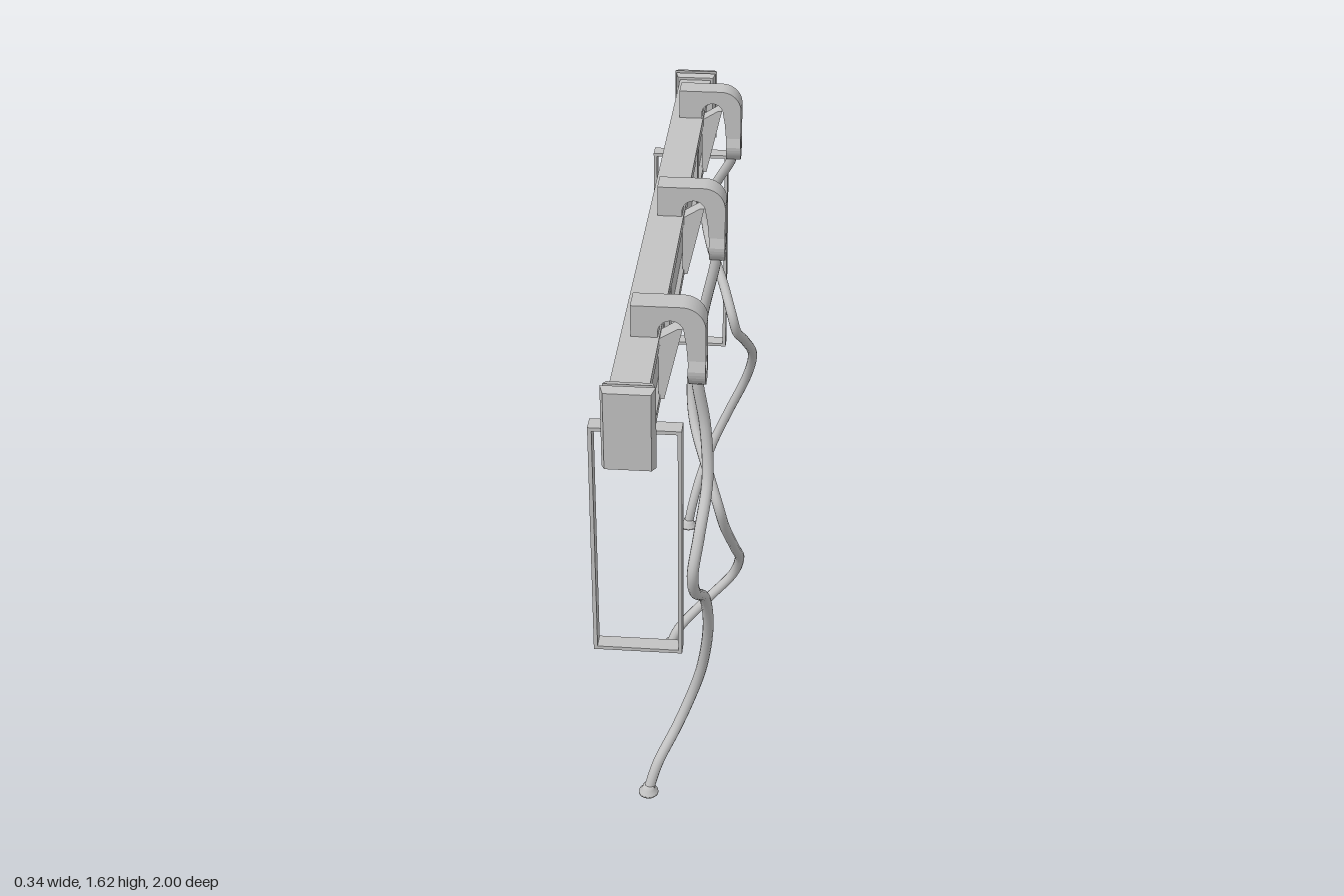
import * as THREE from 'three';

const steel = new THREE.MeshStandardMaterial({ color: 0xc2c2c2 });
steel.name = 'brushed grey';

const V = (x, y, z) => new THREE.Vector3(x, y, z);
const BX = -0.054, BY = 1.445; // beam axis

function add(parent, name, geo, x = 0, y = 0, z = 0) {
  const m = new THREE.Mesh(geo, steel);
  m.name = name;
  m.position.set(x, y, z);
  parent.add(m);
  return m;
}

function polygon(points) {
  return new THREE.Shape(points.map(([x, y]) => new THREE.Vector2(x, y)));
}

// extrusion centred on z = 0
function slab(shape, depth, curveSegments = 10) {
  const g = new THREE.ExtrudeGeometry(shape, { depth, bevelEnabled: false, curveSegments });
  return g.translate(0, 0, -depth / 2);
}

// box whose +z end is scaled by (sx, sy)
function taperedBox(w, h, d, sx, sy) {
  const g = new THREE.BoxGeometry(w, h, d).toNonIndexed();
  const p = g.attributes.position;
  for (let i = 0; i < p.count; i++) {
    if (p.getZ(i) > 0) p.setXY(i, p.getX(i) * sx, p.getY(i) * sy);
  }
  g.computeVertexNormals();
  return g;
}

// hook arching over the beam: left leg rests on it, right leg hangs free
function hookShape() {
  const s = new THREE.Shape();
  s.moveTo(-0.077, 1.535);
  s.lineTo(-0.01, 1.535);
  s.lineTo(-0.01, 1.555);
  s.absarc(0.022, 1.555, 0.032, Math.PI, 0, true);
  s.lineTo(0.06, 1.52);
  s.lineTo(0.064, 1.47);
  s.lineTo(0.108, 1.47);
  s.lineTo(0.108, 1.565);
  s.absarc(0.048, 1.565, 0.06, 0, Math.PI / 2, false);
  s.lineTo(-0.077, 1.625);
  s.closePath();
  return s;
}

// rounded fork that grips the cable, drawn in the z-y plane
function forkShape() {
  const s = new THREE.Shape();
  s.moveTo(-0.03, 1.49);
  s.lineTo(-0.042, 1.45);
  s.quadraticCurveTo(-0.042, 1.42, -0.016, 1.402);
  s.lineTo(0.016, 1.402);
  s.quadraticCurveTo(0.042, 1.42, 0.042, 1.45);
  s.lineTo(0.03, 1.49);
  s.closePath();
  const hole = new THREE.Path();
  hole.moveTo(-0.022, 1.475);
  hole.lineTo(0.022, 1.475);
  hole.lineTo(0.022, 1.445);
  hole.lineTo(0.01, 1.425);
  hole.lineTo(-0.01, 1.425);
  hole.lineTo(-0.022, 1.445);
  hole.closePath();
  s.holes.push(hole);
  return s;
}

// cable centre lines as x, y, z
const cables = [
  [[.083, 1.46, .675], [.085, 1.4, .675], [.105, 1.27, .675], [.114, 1.135, .71], [.1, 1.02, .8],
    [.087, .925, .835], [.09, .845, .8], [.107, .745, .69], [.11, .573, .595], [.088, .385, .536],
    [.06, .28, .525], [.02, .18, .55], [-.03, .09, .61], [-.055, .01, .637]],
  [[.083, 1.46, 0], [.082, 1.4, 0], [.05, 1.24, -.02], [.02, 1.055, -.053], [.01, .945, -.055],
    [.022, .855, -.01], [.07, .76, .1], [.105, .68, .158], [.12, .605, .14], [.145, .43, .005],
    [.154, .295, -.118], [.13, .21, -.153], [.055, .134, -.123], [-.03, .064, -.053], [-.055, .01, -.037]],
  [[.083, 1.46, -.675], [.08, 1.4, -.675], [.03, 1.295, -.707], [-.002, 1.17, -.733], [.015, 1.1, -.69],
    [.065, 1.01, -.585], [.097, .937, -.517], [.11, .88, -.525], [.132, .8, -.61], [.152, .67, -.745],
    [.13, .545, -.815], [.07, .395, -.834], [.02, .28, -.815], [-.02, .17, -.76], [-.043, .08, -.723],
    [-.055, .01, -.713]],
];

export function createModel() {
  const model = new THREE.Group();
  model.name = 'hangingRail';

  // beam with a lip along the top and bottom
  const half = [[.048, -.095], [.048, -.072], [.036, -.066], [.036, .06], [.048, .066], [.048, .095]];
  const other = half.map(([x, y]) => [-x, y]).reverse();
  add(model, 'beam', slab(polygon([...half, ...other]), 1.92), BX, BY, 0);

  for (const side of [1, -1]) {
    // end cap: end plate, groove and flared collar
    const cap = new THREE.Group();
    cap.name = 'endCap';
    add(cap, 'capPlate', taperedBox(0.132, 0.222, 0.026, 0.86, 0.94), 0, 0, 0.987);
    add(cap, 'capGroove', new THREE.BoxGeometry(0.11, 0.202, 0.02), 0, 0, 0.966);
    add(cap, 'capCollar', taperedBox(0.11, 0.205, 0.022, 1.12, 1.06), 0, 0, 0.951);
    cap.position.set(BX, BY, 0);
    cap.rotation.y = side > 0 ? 0 : Math.PI;
    model.add(cap);

    // strap round the beam, narrower at the foot
    const strap = polygon([[-.024, -.1], [.024, -.1], [.03, .078], [-.03, .078]]);
    add(model, 'strap', slab(strap, 0.1).rotateY(Math.PI / 2), BX, BY, side * 0.436);

    // thin rectangular frame hanging under the beam
    const frame = polygon([[-.172, .67], [.06, .67], [.06, 1.352], [-.172, 1.352]]);
    frame.holes.push(polygon([[-.162, .68], [-.162, 1.342], [.05, 1.342], [.05, .68]]));
    add(model, 'hangingFrame', slab(frame, 0.044), 0, 0, side * 0.815);
  }

  const fork = slab(forkShape(), 0.044, 6).rotateY(Math.PI / 2);
  const hook = slab(hookShape(), 0.068, 12);
  const brace = slab(polygon([[-.01, 1.53], [-.01, 1.36], [.004, 1.36], [.05, 1.56], [.038, 1.56]]), 0.05);

  cables.forEach((points, i) => {
    const z = 0.675 * (1 - i);
    // hook, its slanted brace and the cable fork
    const hanger = new THREE.Group();
    hanger.name = 'hanger';
    add(hanger, 'hook', hook);
    add(hanger, 'brace', brace);
    add(hanger, 'fork', fork, 0.086, 0, 0);
    hanger.position.z = z;
    model.add(hanger);

    // wavy cable and its small foot
    const path = new THREE.CatmullRomCurve3(points.map(p => V(...p)), false, 'centripetal');
    add(model, 'cable', new THREE.TubeGeometry(path, 120, 0.015, 12));
    const end = points[points.length - 1];
    const profile = [[0, 0], [.028, 0], [.028, .007], [.018, .016], [.016, .028], [0, .028]];
    add(model, 'cableFoot', new THREE.LatheGeometry(profile.map(p => new THREE.Vector2(...p)), 16), end[0], 0, end[2]);
  });

  return model;
}
